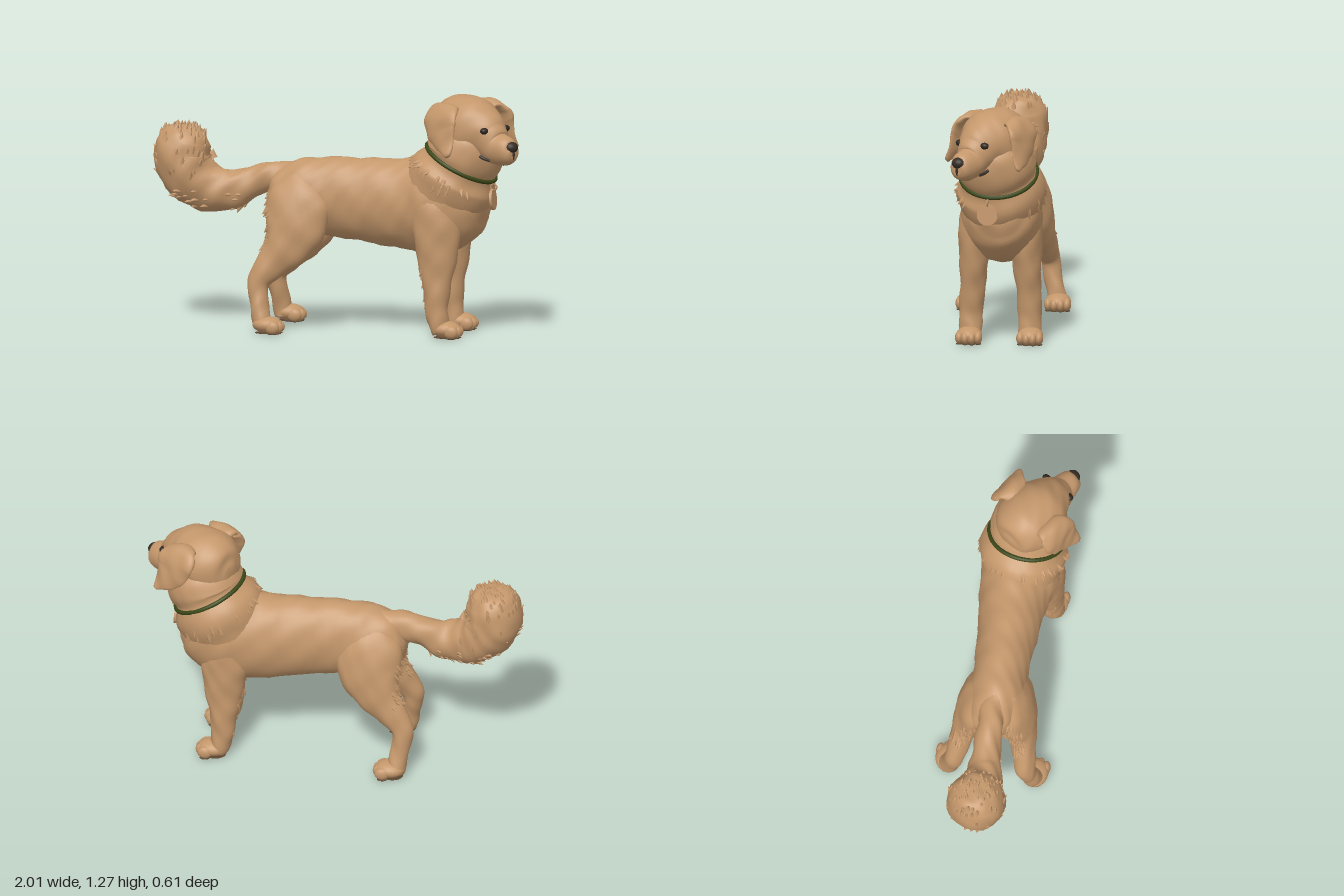
import * as THREE from 'three';
import { mergeGeometries } from 'three/addons/utils/BufferGeometryUtils.js';

const V = (x, y, z) => new THREE.Vector3(x, y, z);
const material = (name, color) => Object.assign(new THREE.MeshStandardMaterial({ color }), { name });

let seed = 7;
const random = () => (seed = (seed * 16807) % 2147483647) / 2147483647;

// Skin over elliptical sections [x, y, z, radius across ref, radius along ref]
function loft(sections, { ref = V(0, 0, 1), steps = 6, sides = 32, wave = 0.004 } = {}) {
  const path = new THREE.CatmullRomCurve3(sections.map(s => V(s[0], s[1], s[2])), false, 'catmullrom');
  const radii = new THREE.CatmullRomCurve3(sections.map(s => V(s[3], s[4], 0)), false, 'catmullrom');
  const rings = (sections.length - 1) * steps, pos = [], index = [];
  for (let j = 0; j <= rings; j++) {
    const c = path.getPoint(j / rings), r = radii.getPoint(j / rings), t = path.getTangent(j / rings);
    const side = ref.clone().addScaledVector(t, -ref.dot(t)).normalize();
    const up = t.clone().cross(side);
    for (let i = 0; i < sides; i++) {
      const a = i / sides * Math.PI * 2;
      const p = c.clone().addScaledVector(side, Math.max(r.y, 0.002) * Math.cos(a))
        .addScaledVector(up, Math.max(r.x, 0.002) * Math.sin(a));
      pos.push(p.x, p.y, p.z);
      const n = (i + 1) % sides, k = j * sides;
      if (j < rings) index.push(k + i, k + n, k + sides + i, k + n, k + sides + n, k + sides + i);
    }
  }
  const first = path.getPoint(0), last = path.getPoint(1), end = pos.length / 3, k = rings * sides;
  pos.push(...first.toArray(), ...last.toArray());
  for (let i = 0; i < sides; i++) {
    const n = (i + 1) % sides;
    index.push(end, n, i, end + 1, k + i, k + n);
  }
  const geo = new THREE.BufferGeometry();
  geo.setAttribute('position', new THREE.Float32BufferAttribute(pos, 3));
  geo.setIndex(index);
  geo.computeVertexNormals();
  // gentle waves in the coat
  const P = geo.attributes.position, N = geo.attributes.normal;
  for (let i = 0; i < P.count; i++) {
    const p = V().fromBufferAttribute(P, i), n = V().fromBufferAttribute(N, i);
    const w = Math.sin(31 * p.x + 9 * p.y) * Math.sin(23 * p.y + 17 * p.z) + 0.5 * Math.sin(58 * p.x - 41 * p.y + 47 * p.z);
    p.addScaledVector(n, wave * w);
    P.setXYZ(i, p.x, p.y, p.z);
  }
  geo.computeVertexNormals();
  return geo;
}

// Pointed locks of hair, rooted in the surface, over chosen parts of it
function tufts(geo, count, size, lean, where) {
  const P = geo.attributes.position, N = geo.attributes.normal, spots = [], cones = [];
  for (let i = 0; i < P.count; i++) if (where(V().fromBufferAttribute(P, i))) spots.push(i);
  for (let k = 0; k < count && spots.length; k++) {
    const i = spots[Math.floor(random() * spots.length)], h = size * (0.7 + 0.6 * random());
    const n = V().fromBufferAttribute(N, i);
    const dir = lean.clone().addScaledVector(n, -lean.dot(n)).multiplyScalar(0.9).addScaledVector(n, 0.6).normalize();
    const cone = new THREE.ConeGeometry(h * 0.4, h, 8, 1, true);
    cone.applyQuaternion(new THREE.Quaternion().setFromUnitVectors(V(0, 1, 0), dir));
    const p = V().fromBufferAttribute(P, i).addScaledVector(dir, h * 0.25).addScaledVector(n, -h * 0.2);
    cones.push(cone.translate(p.x, p.y, p.z));
  }
  return mergeGeometries(cones);
}

export function createModel() {
  const dog = new THREE.Group();
  dog.name = 'dog';
  const fur = material('golden fur', 0xc4976b), black = material('nose black', 0x352d26);
  const eyeDark = material('eye brown', 0x302820), green = material('collar green', 0x3b4718);
  const padDark = material('pad brown', 0x5a442e);

  const add = (name, geo, mat, parent = dog) => {
    const mesh = new THREE.Mesh(geo, mat);
    mesh.name = name;
    parent.add(mesh);
    return mesh;
  };
  const ball = (name, mat, x, y, z, rx, ry, rz, parent) => {
    const mesh = add(name, new THREE.SphereGeometry(1, 20, 14), mat, parent);
    mesh.position.set(x, y, z);
    mesh.scale.set(rx, ry, rz);
    return mesh;
  };

  // Torso from rump to breast
  add('torso', loft([
    [-0.385, 0.715, -0.015, 0.05, 0.04], [-0.34, 0.71, -0.015, 0.14, 0.11], [-0.2, 0.70, -0.015, 0.195, 0.145],
    [-0.02, 0.70, -0.02, 0.21, 0.143], [0.2, 0.685, -0.025, 0.225, 0.16], [0.4, 0.675, -0.03, 0.245, 0.185],
    [0.52, 0.68, -0.02, 0.26, 0.21], [0.64, 0.705, -0.02, 0.23, 0.205], [0.725, 0.735, -0.01, 0.16, 0.155],
    [0.77, 0.75, 0, 0.09, 0.09], [0.785, 0.755, 0, 0.01, 0.01]], { sides: 40 }), fur);

  // Neck: ruff, groove for the collar, then the thick coat behind the head
  const neck = loft([
    [0.5, 0.64, -0.02, 0.2, 0.18], [0.57, 0.745, -0.02, 0.235, 0.215], [0.617, 0.835, -0.02, 0.236, 0.23],
    [0.655, 0.908, -0.01, 0.195, 0.196], [0.682, 0.968, -0.003, 0.205, 0.205], [0.697, 1.06, 0, 0.175, 0.175],
    [0.7, 1.12, 0, 0.08, 0.08]], { sides: 40, wave: 0.003 });
  add('neck', neck, fur);
  add('ruffTufts', tufts(neck, 50, 0.045, V(-0.25, -0.9, 0), p => {
    const d = (p.x - 0.62) * 0.47 + (p.y - 0.83) * 0.88;
    return d > -0.06 && d < 0.01 && p.x < 0.76;
  }), fur);

  // Collar and hanging tag
  const collar = add('collar', new THREE.TorusGeometry(0.2, 0.0115, 10, 64), green);
  collar.position.set(0.655, 0.91, -0.01);
  collar.quaternion.setFromUnitVectors(V(0, 0, 1), V(0.47, 0.88, 0.05).normalize());
  const tag = add('tag', new THREE.CylinderGeometry(0.055, 0.055, 0.014, 32), fur);
  tag.position.set(0.838, 0.725, 0.035);
  tag.rotation.z = Math.PI / 2 + 0.08;
  const ring = add('tagRing', new THREE.TorusGeometry(0.016, 0.004, 8, 18), fur);
  ring.position.set(0.842, 0.79, 0.035);

  // Head, turned to its right
  const head = new THREE.Group();
  head.name = 'head';
  head.position.set(0.69, 1.08, 0.005);
  head.rotation.y = -0.54;
  dog.add(head);
  add('skull', loft([
    [-0.185, 0, 0, 0.04, 0.04], [-0.155, 0, 0, 0.115, 0.11], [-0.08, 0.01, 0, 0.162, 0.16],
    [0, 0.015, 0, 0.172, 0.17], [0.08, 0, 0, 0.168, 0.155], [0.135, -0.015, 0, 0.14, 0.125],
    [0.18, -0.04, 0, 0.11, 0.1], [0.23, -0.07, 0, 0.087, 0.08], [0.29, -0.08, 0, 0.078, 0.068],
    [0.325, -0.085, 0, 0.062, 0.055], [0.347, -0.085, 0, 0.03, 0.03]], { wave: 0.002, sides: 40 }), fur, head);
  ball('nose', black, 0.327, -0.056, 0, 0.037, 0.031, 0.038, head);
  ball('noseGroove', black, 0.343, -0.093, 0, 0.01, 0.028, 0.008, head);
  for (const s of [1, -1]) {
    const side = s > 0 ? 'right' : 'left', fx = s > 0 ? 0 : 0.03;
    ball(side + 'Eye', eyeDark, 0.208, 0.025, s * 0.077, 0.02, 0.018, 0.025, head);
    const lip = new THREE.CatmullRomCurve3([V(0.175, -0.11, s * 0.079), V(0.2, -0.123, s * 0.07), V(0.235, -0.13, s * 0.06)]);
    add(side + 'Mouth', new THREE.TubeGeometry(lip, 10, 0.008, 8), black, head);
    // floppy ear, tapering and swinging forward and out at the tip
    add(side + 'Ear', loft([
      [fx - 0.03, 0.10, s * 0.09, 0.02, 0.04], [fx - 0.015, 0.13, s * 0.145, 0.028, 0.085],
      [fx - 0.005, 0.085, s * 0.19, 0.026, 0.106], [fx + 0.02, 0.015, s * 0.207, 0.022, 0.098],
      [fx + 0.065, -0.05, s * 0.22, 0.017, 0.06], [fx + 0.1, -0.1, s * 0.24, 0.007, 0.014]],
      { ref: V(1, 0, 0), wave: 0.004 }), fur, head);
  }

  // Paw with four toes and dark pads
  const paw = (name, x, z) => {
    const g = new THREE.Group();
    g.name = name;
    g.position.set(x, 0, z);
    dog.add(g);
    ball('foot', fur, 0.005, 0.047, 0, 0.08, 0.044, 0.067, g);
    [-0.049, -0.017, 0.017, 0.049].forEach((dz, i) => {
      const fx = i === 0 || i === 3 ? 0.042 : 0.056;
      ball('toe', fur, fx, 0.037, dz, 0.038, 0.034, 0.022, g);
      ball('toePad', padDark, fx, 0.004, dz, 0.026, 0.004, 0.017, g);
    });
    ball('heelPad', padDark, -0.005, 0.004, 0, 0.058, 0.004, 0.05, g);
  };

  for (const s of [1, -1]) {
    const side = s > 0 ? 'right' : 'left', z = d => -0.012 + s * d;
    // Front leg
    const front = loft([
      [0.53, 0.8, z(0.11), 0.06, 0.04], [0.54, 0.7, z(0.12), 0.125, 0.085], [0.555, 0.57, z(0.13), 0.13, 0.088],
      [0.56, 0.42, z(0.14), 0.105, 0.075], [0.56, 0.28, z(0.147), 0.077, 0.066], [0.56, 0.17, z(0.153), 0.063, 0.062],
      [0.575, 0.09, z(0.155), 0.056, 0.06], [0.59, 0.03, z(0.155), 0.05, 0.058]]);
    add(side + 'FrontLeg', front, fur);
    add(side + 'FrontLegTufts', tufts(front, 10, 0.035, V(-0.2, -0.9, 0), p => p.x < 0.505 && p.y > 0.13 && p.y < 0.35), fur);
    paw(side + 'FrontPaw', 0.61, z(0.16));

    // Hind leg with feathered thigh
    const hind = loft([
      [-0.19, 0.82, z(0.05), 0.09, 0.05], [-0.2, 0.7, z(0.092), 0.165, 0.085], [-0.207, 0.56, z(0.122), 0.165, 0.09],
      [-0.25, 0.45, z(0.145), 0.123, 0.077], [-0.325, 0.355, z(0.168), 0.085, 0.06], [-0.385, 0.27, z(0.186), 0.064, 0.052],
      [-0.383, 0.18, z(0.2), 0.049, 0.047], [-0.37, 0.09, z(0.218), 0.05, 0.052], [-0.36, 0.03, z(0.226), 0.046, 0.055]]);
    add(side + 'HindLeg', hind, fur);
    add(side + 'HindLegTufts', tufts(hind, 45, 0.045, V(-0.5, -0.7, 0), p => p.x < -0.34 && p.y > 0.41 && p.y < 0.75), fur);
    paw(side + 'HindPaw', -0.335, z(0.232));
  }

  // Bushy tail curling upward
  const tail = loft([
    [-0.2, 0.825, -0.015, 0.06, 0.06], [-0.34, 0.797, -0.015, 0.077, 0.068], [-0.47, 0.765, -0.01, 0.08, 0.068],
    [-0.58, 0.72, 0, 0.105, 0.085], [-0.70, 0.725, 0, 0.127, 0.112], [-0.8, 0.79, 0, 0.147, 0.144],
    [-0.842, 0.88, 0, 0.149, 0.152], [-0.832, 0.965, 0, 0.137, 0.138], [-0.815, 1.03, 0, 0.09, 0.088],
    [-0.81, 1.05, 0, 0.01, 0.01]], { wave: 0.006 });
  add('tail', tail, fur);
  add('tailUnderTufts', tufts(tail, 40, 0.045, V(-0.8, 0.2, 0), p => p.x < -0.5 && p.y < 0.72), fur);
  add('tailTipTufts', tufts(tail, 90, 0.045, V(0.2, 0.9, 0), p => p.x < -0.68 && p.y > 0.75), fur);

  return dog;
}
